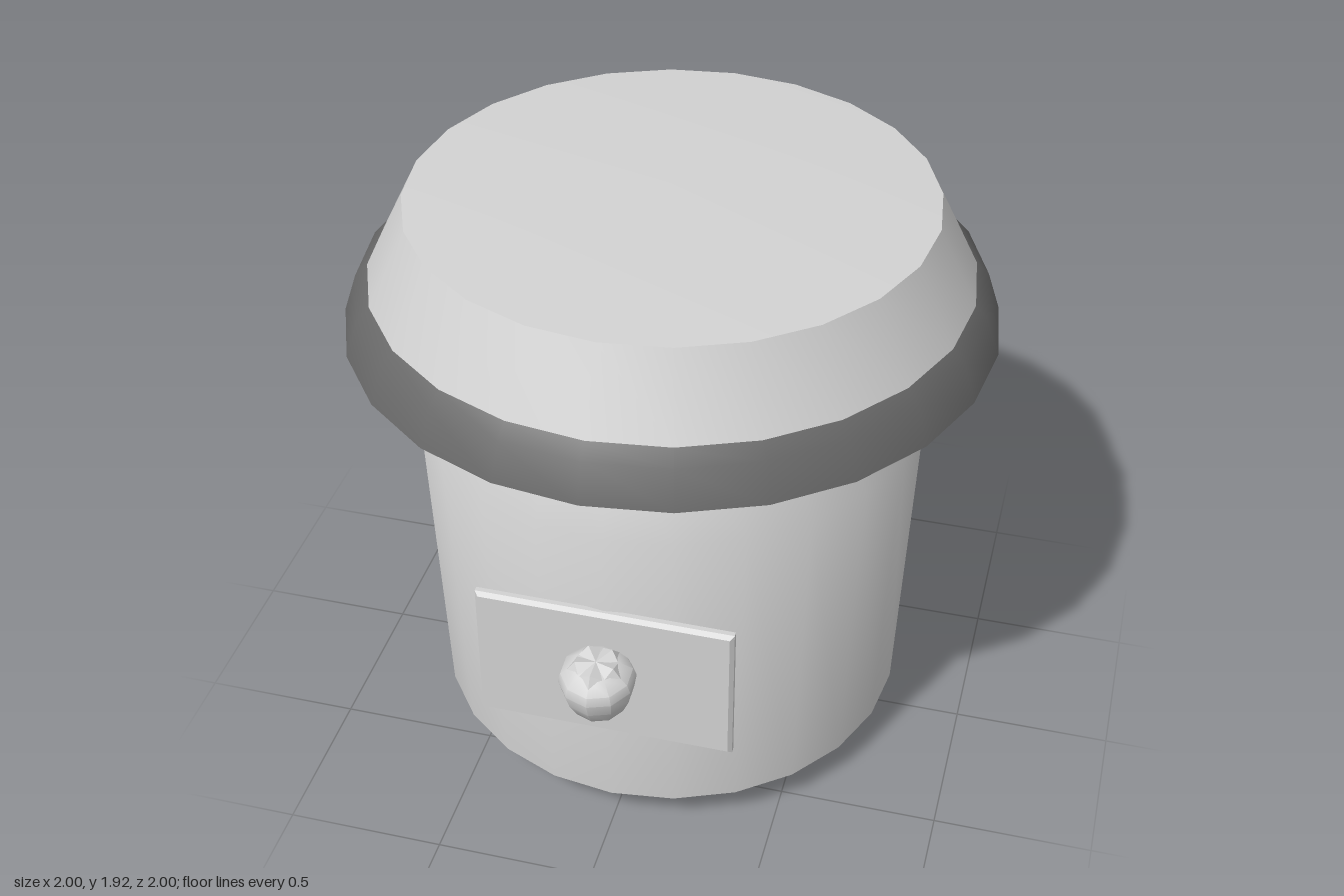
import * as THREE from 'three';
import { toCreasedNormals } from 'three/addons/utils/BufferGeometryUtils.js';

export function createModel() {
  const model = new THREE.Group();
  model.name = 'liddedJar';
  const paint = (name, color) => {
    const m = new THREE.MeshStandardMaterial({ color });
    m.name = name;
    return m;
  };
  const ceramic = paint('lightGrey', 0xd2d2d2);
  const dark = paint('darkGrey', 0x686868);
  const cork = paint('corkTan', 0xb8a985);

  const add = (name, geometry, material, parent = model) => {
    const mesh = new THREE.Mesh(geometry, material);
    mesh.name = name;
    parent.add(mesh);
    return mesh;
  };
  // Turned part from [radius, height] points, sharp only at strong edges
  const turned = (points, sides = 24) => toCreasedNormals(
    new THREE.LatheGeometry(points.map(([r, y]) => new THREE.Vector2(r, y)), sides), 0.62);

  // Jar body: bevelled foot, slightly flaring wall, sloped shoulder
  add('body', turned([[0, 0], [0.64, 0], [0.76, 0.125], [0.8, 1.2], [0.66, 1.45], [0.62, 1.46], [0, 1.46]]), ceramic);

  // Stopper with its seal ring
  add('stopper', turned([[0.655, 1.45], [0.655, 1.73]]), cork);
  add('sealRing', turned([[0.65, 1.53], [0.685, 1.54], [0.685, 1.6], [0.65, 1.61]]), dark);

  // Lid: crown, dark rim, and hollow underside
  add('lidCrown', turned([[0.92, 1.64], [0.8, 1.88], [0, 1.92]]), ceramic);
  add('lidRim', turned([[0.985, 1.48], [1, 1.48], [0.96, 1.6], [0.92, 1.64]]), dark);
  add('lidUnderside', turned([[0.6, 1.73], [0.8, 1.73], [0.82, 1.6], [0.93, 1.6]]), dark);
  add('lidInnerWall', turned([[0.93, 1.6], [0.985, 1.48]]), ceramic);

  // Front plate with bevelled edges
  const w = 0.385, h = 0.225, b = 0.012;
  const outline = new THREE.Shape([[-w, -h], [w, -h], [w, h], [-w, h]].map(([x, y]) => new THREE.Vector2(x, y)));
  const plate = add('frontPlate', new THREE.ExtrudeGeometry(outline, {
    depth: 0.016, bevelEnabled: true, bevelThickness: b, bevelSize: b, bevelSegments: 1,
  }), ceramic);
  plate.position.set(0, 0.683, 0.782);

  // Acorn-shaped ornament on the plate
  const ornament = new THREE.Group();
  ornament.name = 'ornament';
  ornament.position.set(0, 0.7, 0.868);
  ornament.rotation.x = 0.14;
  model.add(ornament);
  add('nut', turned([[0, -0.13], [0.035, -0.112], [0.085, -0.075], [0.108, -0.02], [0.117, 0.03], [0.108, 0.06], [0.07, 0.09], [0, 0.1]], 10), ceramic, ornament);

  // Overlapping cap leaves: low four-sided pyramids around the crown
  for (let i = 0; i < 5; i++) {
    const a = (i / 5) * Math.PI * 2;
    const leaf = add('capLeaf', toCreasedNormals(new THREE.ConeGeometry(0.056, 0.03, 4), 0.2), ceramic, ornament);
    leaf.position.set(Math.sin(a) * 0.056, 0.094, Math.cos(a) * 0.056);
    leaf.rotation.set(0.4, a, 0, 'YXZ');
  }
  return model;
}
